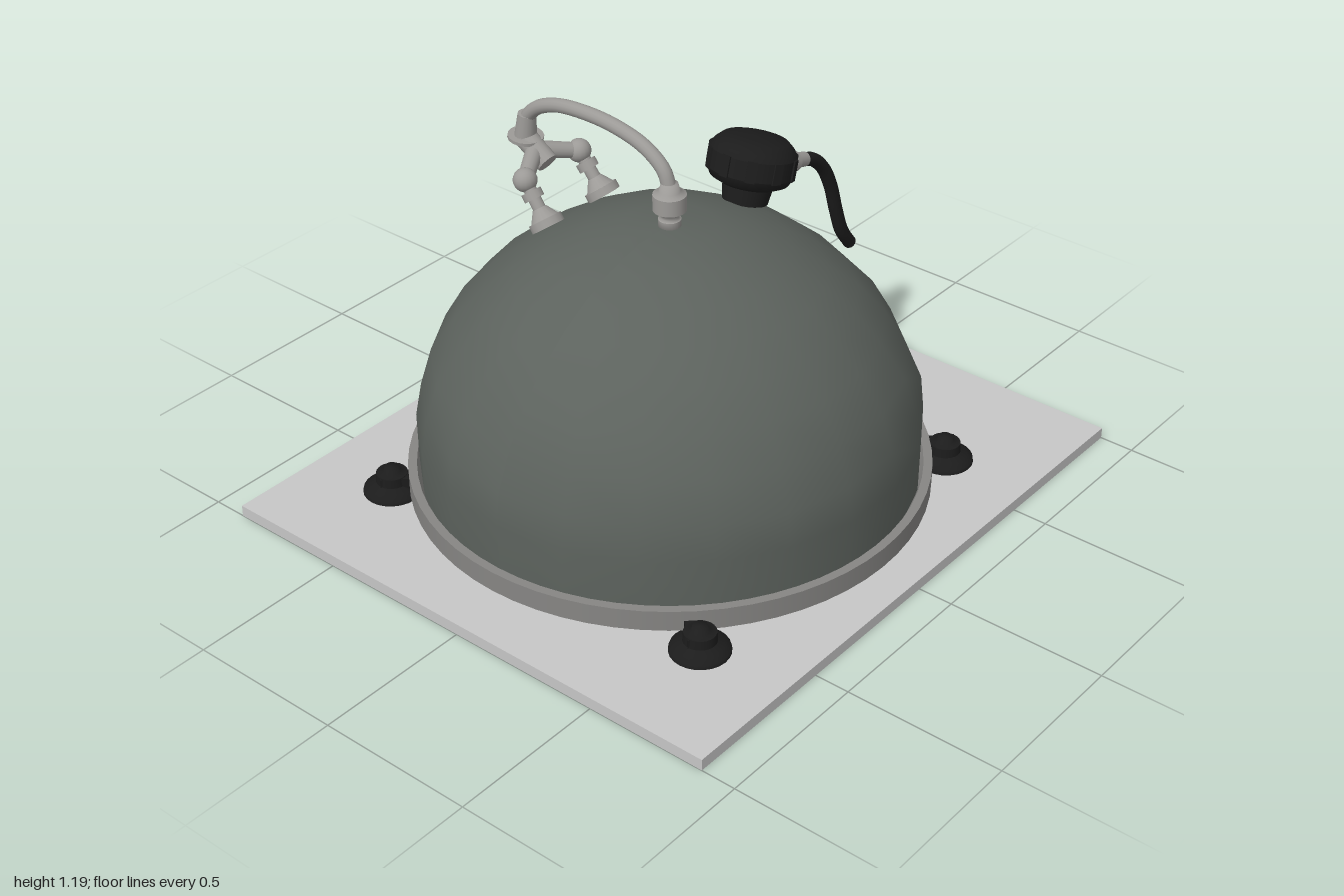
import * as THREE from 'three';

const mat = (name, color, side = THREE.FrontSide) => {
  const m = new THREE.MeshStandardMaterial({ color, side });
  m.name = name;
  return m;
};
const V = (x, y, z) => new THREE.Vector3(x, y, z);
const CZ = 0.055; // dome axis in z

export function createModel() {
  const root = new THREE.Group();
  const plate = mat('pale plate', 0xc6c6c6);
  const shell = mat('dark green grey', 0x5c625d, THREE.DoubleSide);
  const steel = mat('rim grey', 0x868583);
  const chrome = mat('fitting grey', 0x9c9a97);
  const black = mat('black', 0x1c1c1c);

  const add = (name, geo, m, parent = root, pos) => {
    const mesh = new THREE.Mesh(geo, m);
    mesh.name = name;
    if (pos) mesh.position.copy(pos);
    parent.add(mesh);
    return mesh;
  };
  // Points run bottom to top along the outside; doubled points keep edges sharp
  const lathe = (pts, seg = 24) => new THREE.LatheGeometry(pts.map(p => new THREE.Vector2(...p)), seg);
  const rod = (name, a, b, r1, r2, m, parent) => {
    const d = b.clone().sub(a);
    const mesh = add(name, new THREE.CylinderGeometry(r2, r1, d.length(), 16), m, parent,
      a.clone().add(b).multiplyScalar(0.5));
    mesh.quaternion.setFromUnitVectors(V(0, 1, 0), d.normalize());
    return mesh;
  };
  const tube = (name, pts, r, m, parent) =>
    add(name, new THREE.TubeGeometry(new THREE.CatmullRomCurve3(pts), 40, r, 14), m, parent);

  // Base plate
  add('basePlate', new THREE.BoxGeometry(1.78, 0.036, 2), plate, root, V(0, 0.018, 0));

  // Bowl upside down, gently uneven like a coarse casting
  const domeGeo = lathe([[0.762, 0.09], [0.764, 0.27], [0.748, 0.38], [0.705, 0.5], [0.635, 0.61],
    [0.55, 0.705], [0.46, 0.775], [0.36, 0.835], [0.25, 0.88], [0.14, 0.91], [0, 0.915]], 22);
  const p = domeGeo.attributes.position;
  for (let i = 0; i < p.count; i++) {
    const a = Math.atan2(p.getX(i), p.getZ(i)), y = p.getY(i);
    const k = y > 0.3 && y < 0.9 ? 1 + 0.006 * Math.sin(5 * a + 23 * y) : 1;
    p.setXYZ(i, p.getX(i) * k, y, p.getZ(i) * k);
  }
  domeGeo.computeVertexNormals();
  add('bowl', domeGeo, shell, root, V(0, 0, CZ));

  // Rim band and underside
  add('rim', lathe([[0.74, 0.065], [0.795, 0.065], [0.795, 0.065], [0.795, 0.131], [0.795, 0.131],
    [0.768, 0.131], [0.768, 0.131], [0.74, 0.065]], 64), steel, root, V(0, 0, CZ));
  add('underside', new THREE.CylinderGeometry(0.75, 0.75, 0.01, 48), shell, root, V(0, 0.075, CZ));
  for (const x of [-0.255, 0.24])
    add('peg', new THREE.CylinderGeometry(0.025, 0.022, 0.035, 12), steel, root, V(x, 0.055, 0.31));

  // Four rubber feet
  for (const x of [-0.6, 0.6]) for (const z of [-0.545, 0.65]) {
    const foot = new THREE.Group();
    foot.name = 'foot';
    foot.position.set(x, 0.036, z);
    root.add(foot);
    add('footCup', lathe([[0, 0], [0.09, 0], [0.09, 0], [0.088, 0.012], [0.07, 0.022], [0.05, 0.036],
      [0.05, 0.036], [0.048, 0.065], [0.048, 0.065], [0.026, 0.068], [0.022, 0.085], [0, 0.087]]), black, foot);
    const lug = add('footLug', new THREE.BoxGeometry(0.1, 0.035, 0.05), black, foot,
      V(-Math.sign(x) * 0.02, 0.045, 0));
    lug.rotation.y = Math.atan2(z - CZ, -x);
  }

  // Tap: spout collar, spout, flange and two-legged bridge
  const tap = new THREE.Group();
  tap.name = 'tap';
  tap.position.z = CZ;
  root.add(tap);
  add('spoutNozzle', lathe([[0, 0.9], [0.034, 0.9], [0.034, 0.935], [0.034, 0.935], [0.026, 0.94], [0.03, 0.955],
    [0.05, 0.965], [0.05, 0.965], [0.05, 1.015], [0.05, 1.015], [0.032, 1.025], [0.025, 1.05], [0, 1.05]]), chrome, tap);
  tube('spout', [V(0, 1.03, 0), V(-0.022, 1.085, 0), V(-0.09, 1.135, 0), V(-0.2, 1.165, 0), V(-0.32, 1.172, 0),
    V(-0.43, 1.16, 0), V(-0.51, 1.125, 0), V(-0.552, 1.075, 0), V(-0.56, 1.02, 0)], 0.022, chrome, tap);
  rod('spoutSocket', V(-0.557, 1.02, 0), V(-0.548, 1.095, 0), 0.034, 0.028, chrome, tap);
  rod('spoutFlange', V(-0.557, 1.012, 0), V(-0.556, 1.022, 0), 0.055, 0.055, chrome, tap);
  rod('bridgeBody', V(-0.56, 1.015, 0), V(-0.47, 0.955, 0), 0.035, 0.034, chrome, tap);
  for (const s of [-1, 1]) {
    const elbow = V(-0.452, 0.955, s * 0.12), end = V(-0.362, 0.836, s * 0.125);
    const along = t => elbow.clone().lerp(end, t);
    rod('bridgeArm', V(-0.52, 0.985, 0), elbow, 0.028, 0.024, chrome, tap);
    add('elbow', new THREE.SphereGeometry(0.037, 16, 12), chrome, tap, elbow);
    rod('leg', elbow, end, 0.02, 0.02, chrome, tap);
    rod('legNut', along(0.25), along(0.42), 0.032, 0.032, chrome, tap);
    rod('legFlare', along(0.62), along(0.86), 0.022, 0.045, chrome, tap);
    rod('legFlange', along(0.86), along(1.03), 0.053, 0.053, chrome, tap);
  }

  // Drain housing, tilted back on the bowl
  const drain = new THREE.Group();
  drain.name = 'drain';
  drain.position.set(0, 0.966, -0.328);
  drain.rotation.x = -0.26;
  root.add(drain);
  add('drainHousing', lathe([[0, -0.07], [0.09, -0.07], [0.12, -0.055], [0.133, -0.03], [0.133, -0.03],
    [0.133, 0.03], [0.133, 0.03], [0.122, 0.05], [0.1, 0.07], [0.05, 0.078], [0, 0.08]], 28), black, drain);
  add('drainNeck', new THREE.CylinderGeometry(0.08, 0.07, 0.07, 24), black, drain, V(0, -0.09, 0));
  for (let i = 0; i < 10; i++) {
    const a = i * Math.PI / 5;
    const rib = add('housingRib', new THREE.BoxGeometry(0.03, 0.065, 0.012), black, drain,
      V(Math.sin(a) * 0.131, 0, Math.cos(a) * 0.131));
    rib.rotation.y = a;
  }

  // Outlet pipe and hose
  rod('outletRoot', V(0, 0.925, -0.44), V(0, 0.892, -0.5), 0.034, 0.03, black);
  rod('outletNut', V(0, 0.894, -0.49), V(0, 0.877, -0.535), 0.033, 0.033, chrome);
  rod('outletPipe', V(0, 0.88, -0.53), V(0, 0.862, -0.59), 0.025, 0.023, chrome);
  const hose = [V(0, 0.866, -0.575), V(0, 0.845, -0.63), V(0, 0.795, -0.685), V(0, 0.715, -0.73),
    V(0, 0.61, -0.765), V(0, 0.52, -0.8), V(0, 0.458, -0.845)];
  tube('hose', hose, 0.022, black);
  const tip = hose[6];
  rod('hoseEnd', tip, V(0, 0.456, -0.847), 0.022, 0.022, black);
  return root;
}
